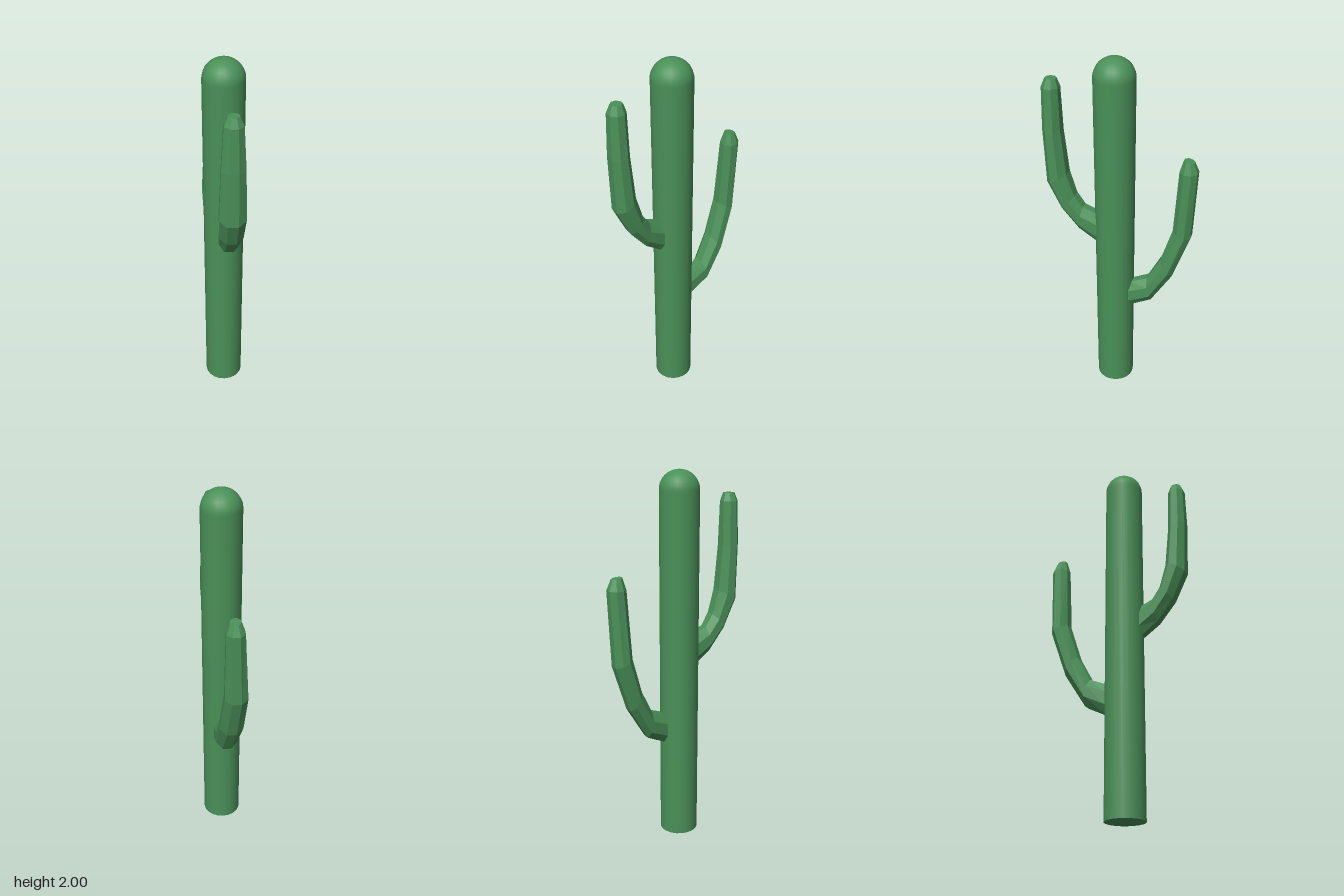
import * as THREE from 'three';

const SIDES = 8;

// Faceted arm. Each ring: [centre x, half width, inner z, inner y, outer z, outer y]
function armGeometry(rings, facing) {
  const pos = [], idx = [];
  const k = 1 / Math.cos(Math.PI / SIDES);
  for (const [x, w, zi, yi, zo, yo] of rings) {
    for (let i = 0; i < SIDES; i++) {
      const a = ((i + 0.5) / SIDES) * Math.PI * 2;
      const c = Math.cos(a) * k, s = Math.sin(a) * k;
      pos.push(
        x - facing * w * c,
        (yi + yo) / 2 + ((yo - yi) / 2) * s,
        (zi + zo) / 2 + ((zo - zi) / 2) * s
      );
    }
  }
  for (let j = 0; j < rings.length - 1; j++) {
    for (let i = 0; i < SIDES; i++) {
      const n = (i + 1) % SIDES;
      const a = j * SIDES + i, b = j * SIDES + n;
      idx.push(a, b, b + SIDES, a, b + SIDES, a + SIDES);
    }
  }
  // flat ends
  const top = (rings.length - 1) * SIDES;
  for (let i = 1; i < SIDES - 1; i++) {
    idx.push(top, top + i, top + i + 1, 0, i + 1, i);
  }
  const g = new THREE.BufferGeometry();
  g.setAttribute('position', new THREE.Float32BufferAttribute(pos, 3));
  g.setIndex(idx);
  const flat = g.toNonIndexed();
  flat.computeVertexNormals();
  return flat;
}

export function createModel() {
  const group = new THREE.Group();
  const smooth = new THREE.MeshStandardMaterial({ color: 0x4a9058 });
  const faceted = new THREE.MeshStandardMaterial({ color: 0x4a9058, flatShading: true });
  const add = (name, geometry, material) => {
    const mesh = new THREE.Mesh(geometry, material);
    mesh.name = name;
    group.add(mesh);
    return mesh;
  };

  // Trunk: straight column with a domed top
  const R = 0.104, Z = 0.03, shoulder = 1.9;
  const profile = [new THREE.Vector2(R, 0), new THREE.Vector2(R, shoulder)];
  for (let i = 1; i <= 10; i++) {
    const a = (i / 10) * Math.PI / 2;
    profile.push(new THREE.Vector2(i === 10 ? 0 : R * Math.cos(a), shoulder + 0.1 * Math.sin(a)));
  }
  add('trunk', new THREE.LatheGeometry(profile, 20), smooth).position.z = Z;

  // Flat underside of the trunk
  const base = add('trunkBase', new THREE.CircleGeometry(R, 20), smooth);
  base.rotation.x = Math.PI / 2;
  base.position.z = Z;

  // Front arm, the higher one
  add('frontArm', armGeometry([
    [0.012, 0.042, 0.06, 1.105, 0.06, 0.91],
    [0.014, 0.045, 0.127, 1.135, 0.12, 0.955],
    [0.020, 0.053, 0.195, 1.165, 0.22, 1.03],
    [0.024, 0.060, 0.238, 1.23, 0.31, 1.145],
    [0.026, 0.066, 0.275, 1.355, 0.382, 1.30],
    [0.027, 0.058, 0.296, 1.59, 0.392, 1.60],
    [0.027, 0.046, 0.301, 1.825, 0.387, 1.825],
    [0.027, 0.027, 0.314, 1.868, 0.37, 1.868],
  ], 1), faceted);

  // Back arm, the lower one, leaning to the model's right
  add('backArm', armGeometry([
    [0.010, 0.045, 0.0, 0.69, 0.0, 0.515],
    [0.002, 0.048, -0.069, 0.715, -0.069, 0.55],
    [-0.012, 0.057, -0.153, 0.747, -0.18, 0.605],
    [-0.028, 0.062, -0.222, 0.88, -0.29, 0.785],
    [-0.044, 0.059, -0.28, 1.075, -0.375, 1.04],
    [-0.036, 0.046, -0.30, 1.435, -0.392, 1.435],
    [-0.035, 0.026, -0.317, 1.498, -0.37, 1.49],
  ], -1), faceted);

  return group;
}
